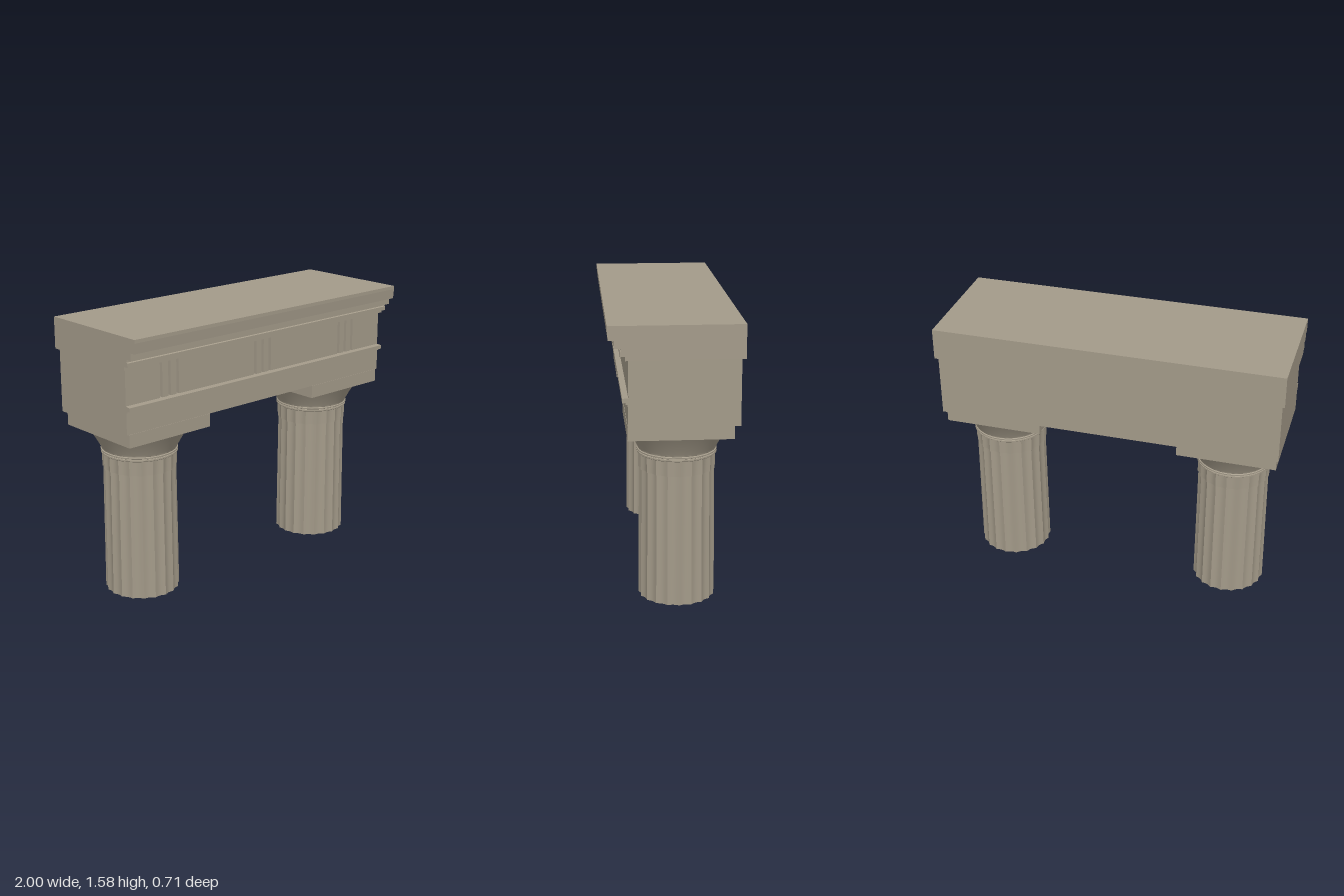
import * as THREE from 'three';
import { toCreasedNormals } from 'three/addons/utils/BufferGeometryUtils.js';

const stone = new THREE.MeshStandardMaterial({ color: 0xa39a89 });
stone.name = 'weathered stone';

const COLUMN_X = 0.688;
const COLUMN_Z = -0.025;
const FLUTES = 20;

function part(name, geometry, parent) {
  const mesh = new THREE.Mesh(geometry, stone);
  mesh.name = name;
  parent.add(mesh);
  return mesh;
}

// Extrude a side profile of [z, y] points along x, centred
function profileAlongX(points, length) {
  const shape = new THREE.Shape(points.map(([z, y]) => new THREE.Vector2(z, y)));
  const geometry = new THREE.ExtrudeGeometry(shape, { depth: length, bevelEnabled: false });
  return geometry.translate(0, 0, -length / 2).rotateY(-Math.PI / 2);
}

// Tapered drum with shallow hollow flutes meeting at sharp arrises
function flutedDrum(rBottom, rTop, y0, y1) {
  const geometry = new THREE.CylinderGeometry(rTop, rBottom, y1 - y0, FLUTES * 6);
  const pos = geometry.attributes.position;
  for (let i = 0; i < pos.count; i++) {
    const angle = Math.atan2(pos.getX(i), pos.getZ(i));
    const scale = 1 - 0.05 * Math.abs(Math.sin((angle * FLUTES) / 2));
    pos.setX(i, pos.getX(i) * scale);
    pos.setZ(i, pos.getZ(i) * scale);
  }
  geometry.translate(0, (y0 + y1) / 2, 0);
  return toCreasedNormals(geometry, 0.5);
}

function createColumn(name) {
  const column = new THREE.Group();
  column.name = name;
  part('flutedShaft', flutedDrum(0.212, 0.206, 0, 0.74), column);
  part('flutedNeck', flutedDrum(0.21, 0.212, 0.737, 0.825), column);

  // Annulet rings and flaring echinus
  const profile = [
    [0.15, 0.822], [0.212, 0.822], [0.217, 0.826], [0.217, 0.834], [0.211, 0.836],
    [0.217, 0.839], [0.217, 0.846], [0.211, 0.849], [0.217, 0.862], [0.23, 0.887],
    [0.25, 0.922], [0.267, 0.949], [0.278, 0.966],
  ].map(([r, y]) => new THREE.Vector2(r, y));
  part('echinus', toCreasedNormals(new THREE.LatheGeometry(profile, 72), 0.5), column);

  part('abacus', new THREE.BoxGeometry(0.566, 0.075, 0.56), column).position.y = 1.0025;
  return column;
}

// Frieze block, plan outline with three groups of three vertical grooves in front
function friezeGeometry() {
  const front = 0.25, back = -0.335, depth = 0.02, half = 0.009;
  const shape = new THREE.Shape();
  shape.moveTo(-0.985, -back);
  shape.lineTo(-0.985, -front);
  for (const centre of [-COLUMN_X, 0, COLUMN_X]) {
    for (const offset of [-0.057, 0, 0.057]) {
      const x = centre + offset;
      shape.lineTo(x - half, -front);
      shape.lineTo(x - half, -front + depth);
      shape.lineTo(x + half, -front + depth);
      shape.lineTo(x + half, -front);
    }
  }
  shape.lineTo(0.985, -front);
  shape.lineTo(0.985, -back);
  const geometry = new THREE.ExtrudeGeometry(shape, { depth: 0.2, bevelEnabled: false });
  return geometry.rotateX(-Math.PI / 2).translate(0, 1.2, 0);
}

export function createModel() {
  const model = new THREE.Group();
  model.name = 'colonnadeBay';

  for (const side of [-1, 1]) {
    const column = createColumn(side > 0 ? 'leftColumn' : 'rightColumn');
    column.position.set(side * COLUMN_X, 0, COLUMN_Z);
    model.add(column);
  }

  // Architrave with the projecting taenia along its front
  part('architrave', profileAlongX([
    [-0.335, 1.04], [0.253, 1.04], [0.253, 1.165], [0.265, 1.165], [0.265, 1.174],
    [0.282, 1.174], [0.282, 1.197], [0.25, 1.2], [-0.335, 1.2],
  ], 1.97), model);

  part('frieze', friezeGeometry(), model);

  // Cornice with stepped mouldings on the front
  part('cornice', profileAlongX([
    [-0.355, 1.4], [0.265, 1.4], [0.265, 1.42], [0.292, 1.42], [0.292, 1.443],
    [0.285, 1.447], [0.285, 1.463], [0.322, 1.463], [0.322, 1.503], [0.352, 1.503],
    [0.357, 1.56], [0.357, 1.58], [-0.355, 1.58],
  ], 2), model);

  return model;
}
